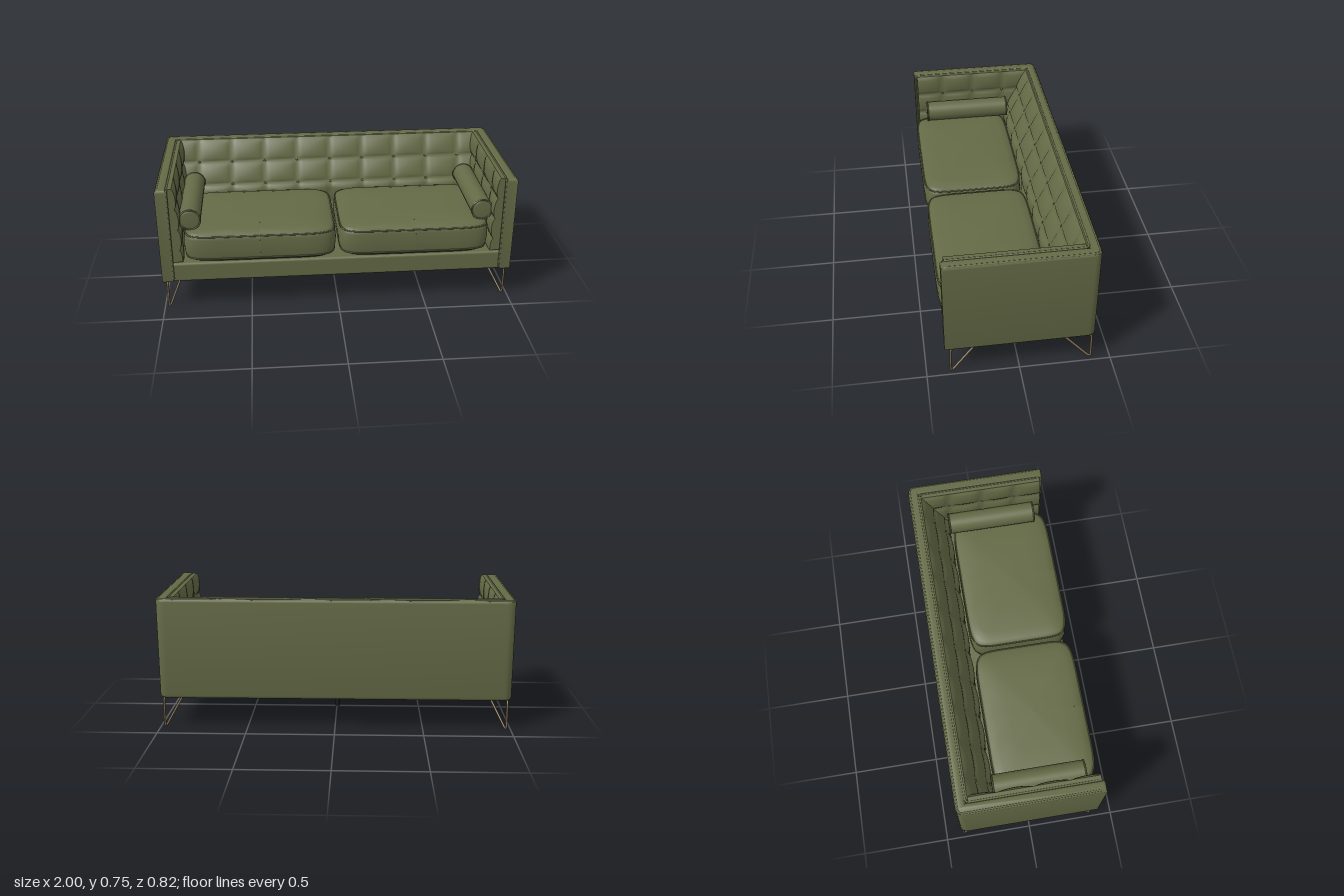
import * as THREE from 'three';
import { toCreasedNormals } from 'three/addons/utils/BufferGeometryUtils.js';
import { RoundedBoxGeometry } from 'three/addons/geometries/RoundedBoxGeometry.js';

const V = (x, y, z) => new THREE.Vector3(x, y, z);

// Straight runs through the points, joined by rounded corners
function roundedPath(points, r, closed = false) {
  const path = new THREE.CurvePath();
  const n = points.length;
  const toward = (a, b) => a.clone().add(b.clone().sub(a).setLength(r));
  for (let i = 0; i < (closed ? n : n - 1); i++) {
    const a = points[i], b = points[(i + 1) % n], c = points[(i + 2) % n];
    const start = closed || i > 0 ? toward(a, b) : a;
    const turns = closed || i < n - 2;
    const end = turns ? toward(b, a) : b;
    path.add(new THREE.LineCurve3(start, end));
    if (turns) path.add(new THREE.QuadraticBezierCurve3(end, b, toward(b, c)));
  }
  return path;
}

// Outline of a cushion: a rectangle with soft corners
const soft = (t) => Math.sign(t) * Math.pow(Math.abs(t), 0.25);

export function createModel() {
  const sofa = new THREE.Group();
  sofa.name = 'sofa';
  const fabric = new THREE.MeshStandardMaterial({ color: 0x646a46 });
  fabric.name = 'olive fabric';
  const brass = new THREE.MeshStandardMaterial({ color: 0x7d6a4c });
  brass.name = 'bronze metal';
  const black = new THREE.MeshStandardMaterial({ color: 0x14171a });
  black.name = 'black plastic';

  function add(name, geometry, material, parent = sofa) {
    const mesh = new THREE.Mesh(geometry, material);
    mesh.name = name;
    parent.add(mesh);
    return mesh;
  }

  // Outer shell: back and both arms as one U
  const u = new THREE.Shape();
  u.moveTo(-0.998, -0.4);
  u.lineTo(-0.998, 0.36);
  u.quadraticCurveTo(-0.998, 0.412, -0.946, 0.412);
  u.lineTo(0.946, 0.412);
  u.quadraticCurveTo(0.998, 0.412, 0.998, 0.36);
  u.lineTo(0.998, -0.4);
  u.lineTo(0.935, -0.4);
  u.lineTo(0.935, 0.352);
  u.lineTo(-0.935, 0.352);
  u.lineTo(-0.935, -0.4);
  u.closePath();
  const bevel = 0.018;
  const shell = new THREE.ExtrudeGeometry(u, {
    depth: 0.576 - 2 * bevel, bevelEnabled: true, bevelSize: bevel, bevelThickness: bevel,
    bevelOffset: -bevel, bevelSegments: 4, curveSegments: 10,
  });
  shell.rotateX(-Math.PI / 2);
  shell.translate(0, 0.176 + bevel, 0);
  add('outerShell', toCreasedNormals(shell, 0.7), fabric);

  // Piping along the shell's two edges
  for (const [x, back] of [[0.987, -0.4], [0.934, -0.353]]) {
    const path = roundedPath([
      V(-x, 0.2, 0.392), V(-x, 0.747, 0.392), V(-x, 0.747, back),
      V(x, 0.747, back), V(x, 0.747, 0.392), V(x, 0.2, 0.392),
    ], 0.025);
    add('shellPiping', new THREE.TubeGeometry(path, 360, 0.006, 8), fabric);
  }

  // Base and front rail
  const base = add('seatBase', new RoundedBoxGeometry(1.88, 0.116, 0.76, 4, 0.015), fabric);
  base.position.set(0, 0.236, 0.01);

  // Tufted inner panels, leaning out towards the seat
  function tuftedPanel(name, length, lean) {
    const group = new THREE.Group();
    group.name = name;
    const offset = (x, y) => {
      const s = Math.abs(Math.sin(Math.PI * x / 0.2));
      const t = Math.abs(Math.sin(Math.PI * (y - 0.5) / 0.125));
      return lean * Math.min(1, (0.75 - y) / 0.28) + 0.018 * Math.sqrt(s * t);
    };
    const geo = new THREE.BoxGeometry(length, 0.45, 0.03, Math.round(length / 0.02), 36, 1);
    geo.translate(0, 0.525, 0);
    const p = geo.attributes.position;
    for (let i = 0; i < p.count; i++) {
      if (p.getZ(i) > 0) p.setZ(i, p.getZ(i) + offset(p.getX(i), p.getY(i)));
    }
    geo.computeVertexNormals();
    add(name + 'Padding', geo, fabric, group);
    const columns = Math.floor(length / 0.4);
    for (let c = -columns; c <= columns; c++) {
      for (const y of [0.5, 0.625]) {
        const button = add('tuftButton', new THREE.SphereGeometry(0.008, 10, 6), fabric, group);
        button.position.set(c * 0.2, y, 0.015 + offset(c * 0.2, y));
        button.scale.z = 0.5;
      }
    }
    sofa.add(group);
    return group;
  }
  tuftedPanel('backPanel', 1.84, 0.135).position.z = -0.355;
  for (const side of [-1, 1]) {
    const panel = tuftedPanel(side > 0 ? 'leftArmPanel' : 'rightArmPanel', 0.72, 0.018);
    panel.rotation.y = -side * Math.PI / 2;
    panel.position.set(side * 0.922, 0, 0.022);
  }

  // Seat cushions: a turned profile reshaped to a soft rectangle
  const halfX = 0.432, halfZ = 0.296;
  const profile = [
    [0, 0.294], [0.8, 0.296], [0.93, 0.305], [0.975, 0.32], [0.99, 0.34], [1, 0.39],
    [0.99, 0.44], [0.975, 0.462], [0.93, 0.475], [0.8, 0.486], [0.5, 0.493], [0, 0.496],
  ].map(([r, y]) => new THREE.Vector2(r, y));
  function outline(y, s) {
    const points = [];
    for (let i = 0; i < 96; i++) {
      const a = i / 96 * Math.PI * 2;
      points.push(V(halfX * s * soft(Math.sin(a)), y, halfZ * s * soft(Math.cos(a))));
    }
    return new THREE.CatmullRomCurve3(points, true);
  }
  for (const side of [-1, 1]) {
    const group = new THREE.Group();
    group.name = side > 0 ? 'leftSeatCushion' : 'rightSeatCushion';
    group.position.set(side * 0.438, 0, 0.115);
    const geo = new THREE.LatheGeometry(profile, 96);
    const p = geo.attributes.position;
    for (let i = 0; i < p.count; i++) {
      const x = p.getX(i), z = p.getZ(i), r = Math.hypot(x, z);
      if (r < 1e-6) continue;
      p.setX(i, halfX * r * soft(x / r));
      p.setZ(i, halfZ * r * soft(z / r));
    }
    geo.computeVertexNormals();
    add('cushionBody', geo, fabric, group);
    for (const y of [0.323, 0.46]) {
      add('cushionPiping', new THREE.TubeGeometry(outline(y, 0.978), 240, 0.005, 6, true), fabric, group);
    }
    sofa.add(group);
  }

  // Bolster pillows with piped ends
  const bolsterProfile = [
    [0, -0.266], [0.045, -0.266], [0.057, -0.262], [0.061, -0.252],
    [0.061, 0.252], [0.057, 0.262], [0.045, 0.266], [0, 0.266],
  ].map(([r, y]) => new THREE.Vector2(r, y));
  for (const side of [-1, 1]) {
    const group = new THREE.Group();
    group.name = side > 0 ? 'leftBolster' : 'rightBolster';
    group.position.set(side * 0.826, 0.536, 0.068);
    add('bolsterBody', new THREE.LatheGeometry(bolsterProfile, 40), fabric, group).rotation.x = Math.PI / 2;
    for (const z of [-0.26, 0.26]) {
      add('bolsterPiping', new THREE.TorusGeometry(0.059, 0.005, 8, 40), fabric, group).position.z = z;
    }
    sofa.add(group);
  }

  // Bent wire leg frames
  for (const side of [-1, 1]) {
    const x = side * 0.975, inner = side * 0.88;
    const path = roundedPath([
      V(x, 0.173, 0.367), V(x, -0.005, 0.37), V(inner, 0.172, 0.16),
      V(inner, 0.172, -0.185), V(x, -0.005, -0.396), V(x, 0.173, -0.393),
    ], 0.03, true);
    add(side > 0 ? 'leftLegFrame' : 'rightLegFrame', new THREE.TubeGeometry(path, 260, 0.0062, 10, true), brass);
  }

  // Tapered support leg under the middle
  const support = add('centreLeg', new THREE.CylinderGeometry(0.018, 0.014, 0.18, 20), black);
  support.position.set(-0.005, 0.09, 0.007);

  return sofa;
}
